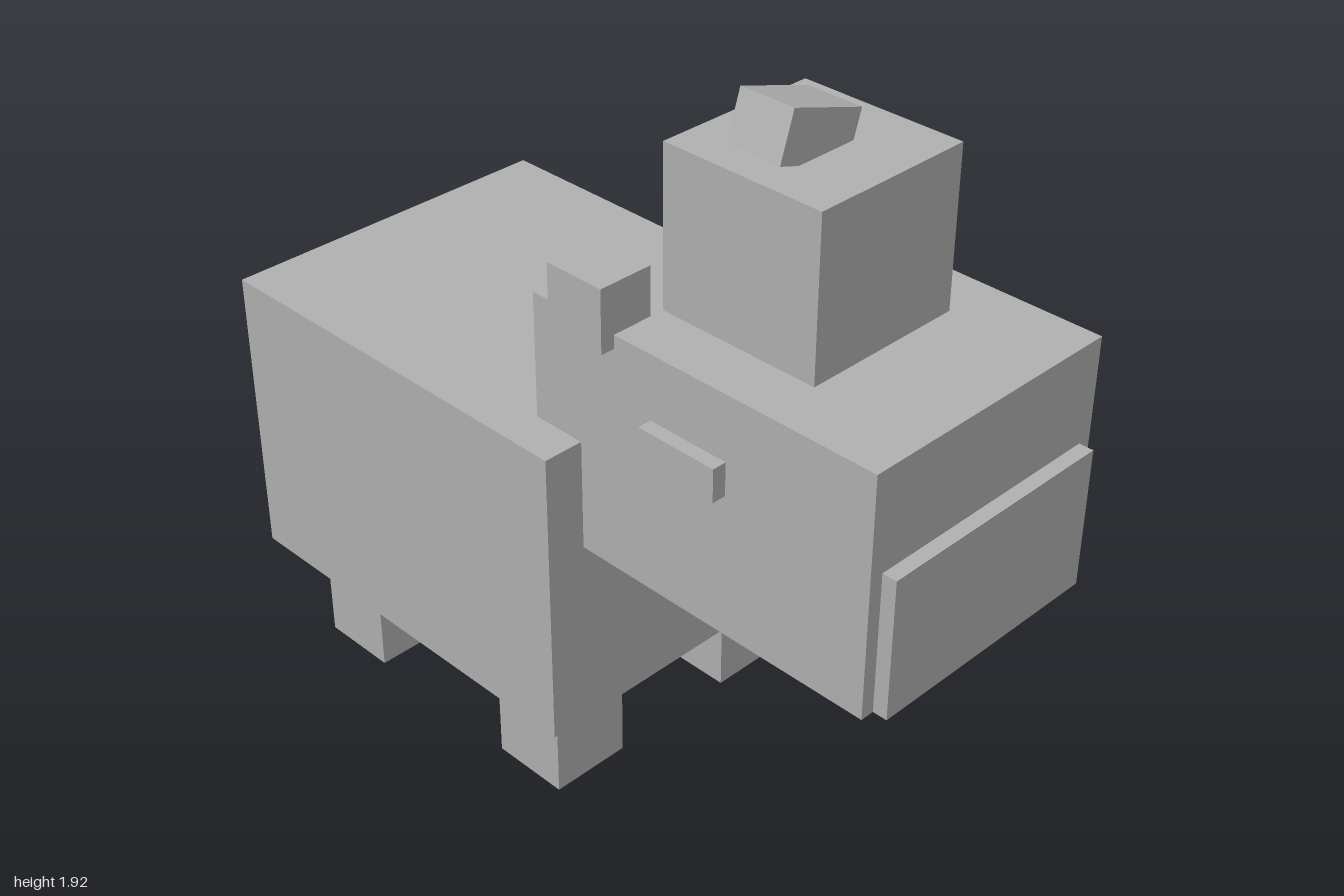
import * as THREE from 'three';

export function createModel() {
  const model = new THREE.Group();
  const grey = new THREE.MeshStandardMaterial({ color: 0xb0b0b0 });
  grey.name = 'grey';

  // Box given by its lower and upper limits on each axis
  function block(name, [x0, x1], [y0, y1], [z0, z1]) {
    const mesh = new THREE.Mesh(new THREE.BoxGeometry(x1 - x0, y1 - y0, z1 - z0), grey);
    mesh.name = name;
    mesh.position.set((x0 + x1) / 2, (y0 + y1) / 2, (z0 + z1) / 2);
    model.add(mesh);
    return mesh;
  }

  // Matching blocks on the left (+x) and right (-x)
  function pair(name, [x0, x1], y, z) {
    block('left' + name, [x0, x1], y, z);
    block('right' + name, [-x1, -x0], y, z);
  }

  // Body and legs
  block('body', [-0.47, 0.47], [0.26, 1.06], [-1, 0.125]);
  pair('FrontLeg', [0.18, 0.4], [0, 0.26], [-0.16, 0.055]);
  pair('BackLeg', [0.18, 0.4], [0, 0.26], [-0.85, -0.635]);

  // Head with snout, eyes and ears
  block('head', [-0.363, 0.363], [0.77, 1.385], [-0.02, 0.963]);
  block('snout', [-0.327, 0.327], [0.77, 1.13], [0.963, 1]);
  pair('Eye', [0.363, 0.4], [1.135, 1.22], [0.345, 0.565]);
  pair('Ear', [0.255, 0.4], [1.35, 1.51], [0.07, 0.235]);

  // Tall block on the head, topped by a tilted tuft
  block('topBlock', [-0.217, 0.217], [1.385, 1.787], [0.235, 0.67]);
  const tuft = block('tuft', [-0.147, 0.071], [1.769, 1.891], [0.36, 0.507]);
  tuft.rotation.z = -0.31;

  return model;
}
